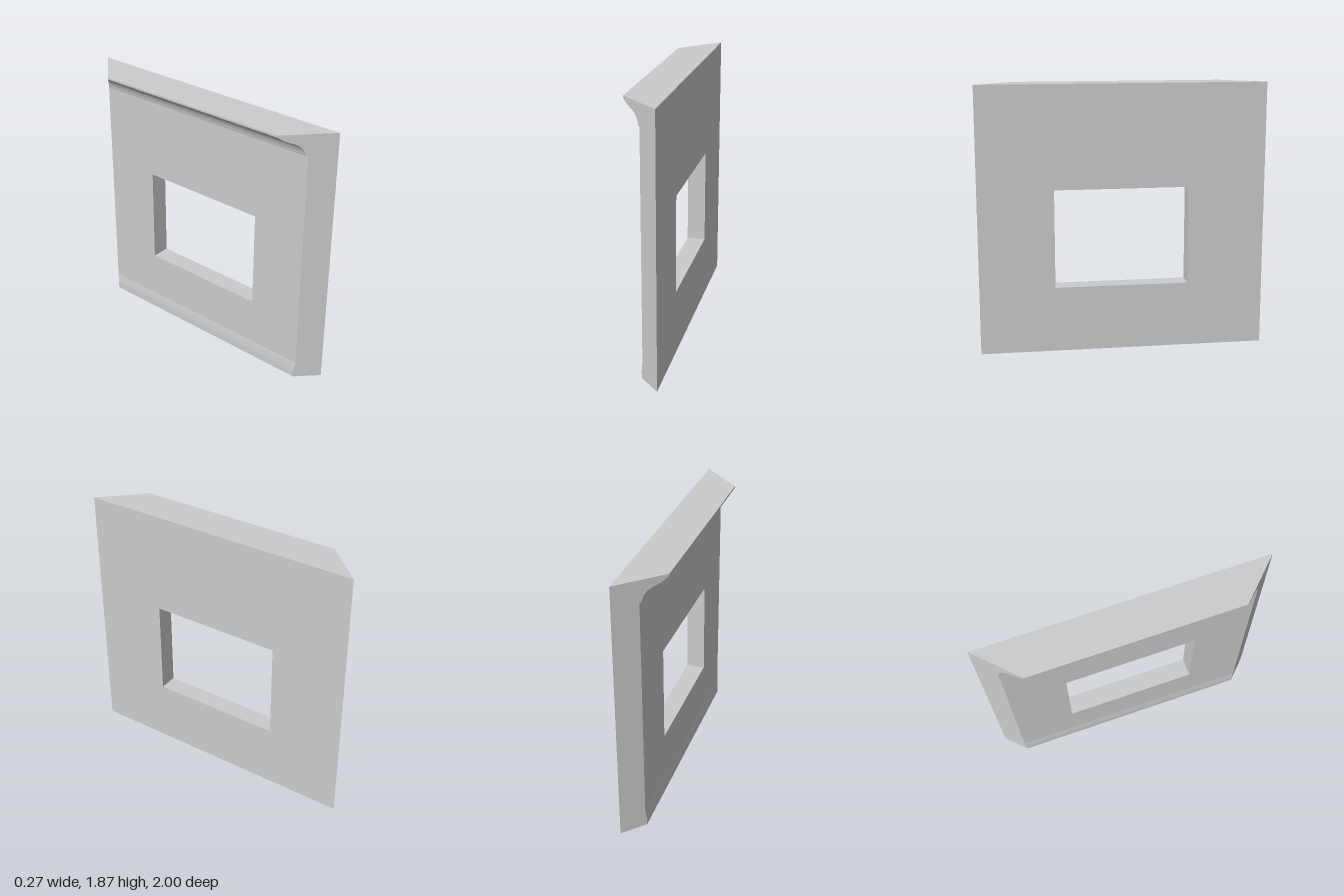
import * as THREE from 'three';
import { mergeGeometries } from 'three/addons/utils/BufferGeometryUtils.js';

const BACK = 0.135, FACE = 0.003;
const Y0 = 0.12, Y1 = 1.72, TOP = 1.87;
const HOLE = { z0: -0.46, z1: 0.475, y0: 0.46, y1: 1.15 };

// Half length of the wall at depth x: both ends are cut at 45 degrees
const mitre = (x) => 1 - (BACK - x);

// Cross-section runs [x, y], from bottom to top
const skirting = [[-0.005, 0], [-0.005, 0.05], [0, 0.1], [FACE, Y0]];
const cornice = [[FACE, Y1], [-0.006, Y1], [-0.012, 1.745], [-0.022, 1.768], [-0.036, 1.787],
  [-0.055, 1.801], [-0.1, 1.822], [-0.12, 1.838], [-0.138, 1.853], [-0.138, 1.866]];

function quads(list) {
  const pos = [];
  for (const [a, b, c, d] of list) pos.push(...a, ...b, ...c, ...a, ...c, ...d);
  const g = new THREE.BufferGeometry();
  g.setAttribute('position', new THREE.Float32BufferAttribute(pos, 3));
  g.computeVertexNormals();
  return g;
}

// Sweep a run of section points between the two mitred ends
function sweep(points) {
  const list = [];
  for (let i = 0; i < points.length - 1; i++) {
    const [ax, ay] = points[i], [bx, by] = points[i + 1];
    const a = mitre(ax), b = mitre(bx);
    list.push([[ax, ay, -a], [ax, ay, a], [bx, by, b], [bx, by, -b]]);
  }
  return quads(list);
}

// Flat wall face with the window opening; dir +1 looks to +x, -1 to -x
function wallFace(x, y0, y1, dir) {
  const w = mitre(x);
  const rect = (path, a, b, c, d) => path.moveTo(a, c).lineTo(b, c).lineTo(b, d).lineTo(a, d).closePath();
  const shape = rect(new THREE.Shape(), -w, w, y0, y1);
  shape.holes.push(rect(new THREE.Path(), -dir * HOLE.z0, -dir * HOLE.z1, HOLE.y0, HOLE.y1));
  return new THREE.ShapeGeometry(shape).rotateY(dir * Math.PI / 2).translate(x, 0, 0);
}

// End cap: the full section pushed onto the mitre plane
function endCap(side) {
  const pts = [...skirting, ...cornice, [BACK, TOP], [BACK, 0]].map(([x, y]) => new THREE.Vector2(x, y));
  const g = new THREE.ShapeGeometry(new THREE.Shape(pts));
  const p = g.attributes.position;
  for (let i = 0; i < p.count; i++) p.setZ(i, side * mitre(p.getX(i)));
  if (side < 0) g.index.array.reverse();
  g.computeVertexNormals();
  return g;
}

// Four inner sides of the window opening
function reveal() {
  const { z0, z1, y0, y1 } = HOLE;
  const c = [[z0, y0], [z1, y0], [z1, y1], [z0, y1]];
  return quads(c.map(([z, y], i) => {
    const [nz, ny] = c[(i + 1) % 4];
    return [[FACE, y, z], [FACE, ny, nz], [BACK, ny, nz], [BACK, y, z]];
  }));
}

export function createModel() {
  const group = new THREE.Group();
  group.name = 'wallSegment';
  const material = new THREE.MeshStandardMaterial({ color: 0xcccccc, flatShading: true });
  const add = (name, geometry) => {
    const mesh = new THREE.Mesh(geometry, material);
    mesh.name = name;
    group.add(mesh);
  };

  add('mouldedFace', wallFace(FACE, Y0, Y1, -1));
  add('plainFace', wallFace(BACK, 0, TOP, 1));
  add('windowReveal', reveal());
  add('skirting', sweep(skirting));
  add('cornice', sweep(cornice));
  add('topSurface', sweep([cornice[cornice.length - 1], [BACK, TOP]]));
  add('underside', sweep([[BACK, 0], skirting[0]]));
  add('mitredEnds', mergeGeometries([endCap(1), endCap(-1)]));
  return group;
}
